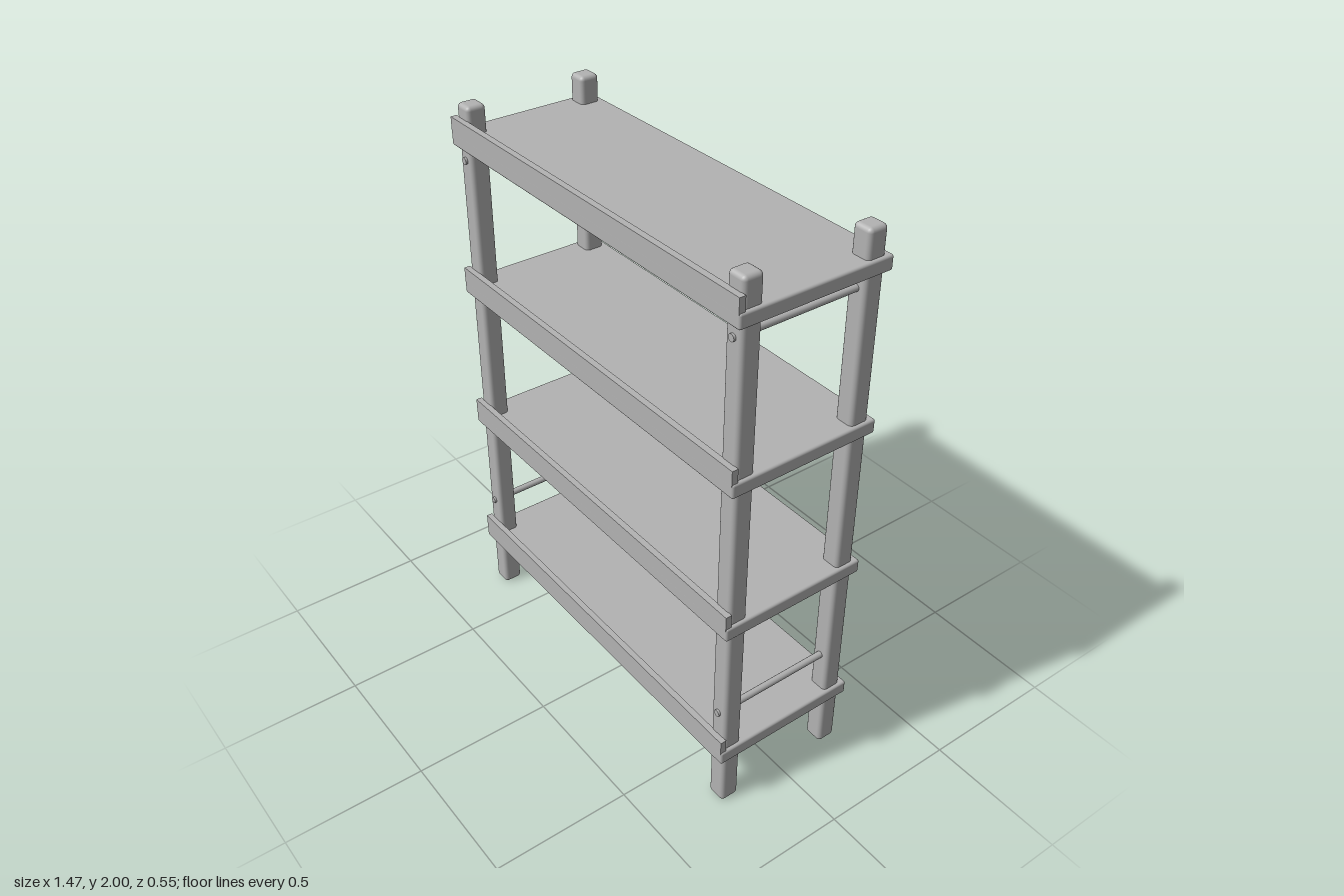
import * as THREE from 'three';
import { RoundedBoxGeometry } from 'three/addons/geometries/RoundedBoxGeometry.js';

export function createModel() {
  const group = new THREE.Group();
  group.name = 'shelvingUnit';
  const grey = new THREE.MeshStandardMaterial({ color: 0xb2b2b2 });
  grey.name = 'plain grey';

  const add = (name, geometry, x, y, z) => {
    const mesh = new THREE.Mesh(geometry, grey);
    mesh.name = name;
    mesh.position.set(x, y, z);
    group.add(mesh);
    return mesh;
  };

  const postX = 0.686, postZ = 0.219;
  const postGeometry = new RoundedBoxGeometry(0.07, 2, 0.07, 3, 0.015);
  const rodGeometry = new THREE.CylinderGeometry(0.012, 0.012, 0.524, 20);
  rodGeometry.rotateX(Math.PI / 2);

  // Four upright posts and the cross rods that tie each pair together
  for (const [side, sx] of [['left', 1], ['right', -1]]) {
    add(side + 'FrontPost', postGeometry, sx * postX, 1, postZ);
    add(side + 'BackPost', postGeometry, sx * postX, 1, -postZ);
    add(side + 'LowerRod', rodGeometry, sx * postX, 0.403, 0);
    add(side + 'UpperRod', rodGeometry, sx * postX, 1.81, 0);
  }

  // Four shelves, each with a thin lip standing on its front edge
  const shelfGeometry = new RoundedBoxGeometry(1.466, 0.05, 0.548, 2, 0.008);
  const lipGeometry = new THREE.BoxGeometry(1.456, 0.055, 0.022);
  for (let i = 0; i < 4; i++) {
    const y = 0.233 + i * 0.549;
    add('shelf' + (i + 1), shelfGeometry, 0, y, 0);
    add('frontLip' + (i + 1), lipGeometry, 0, y + 0.0455, 0.263);
  }
  return group;
}
